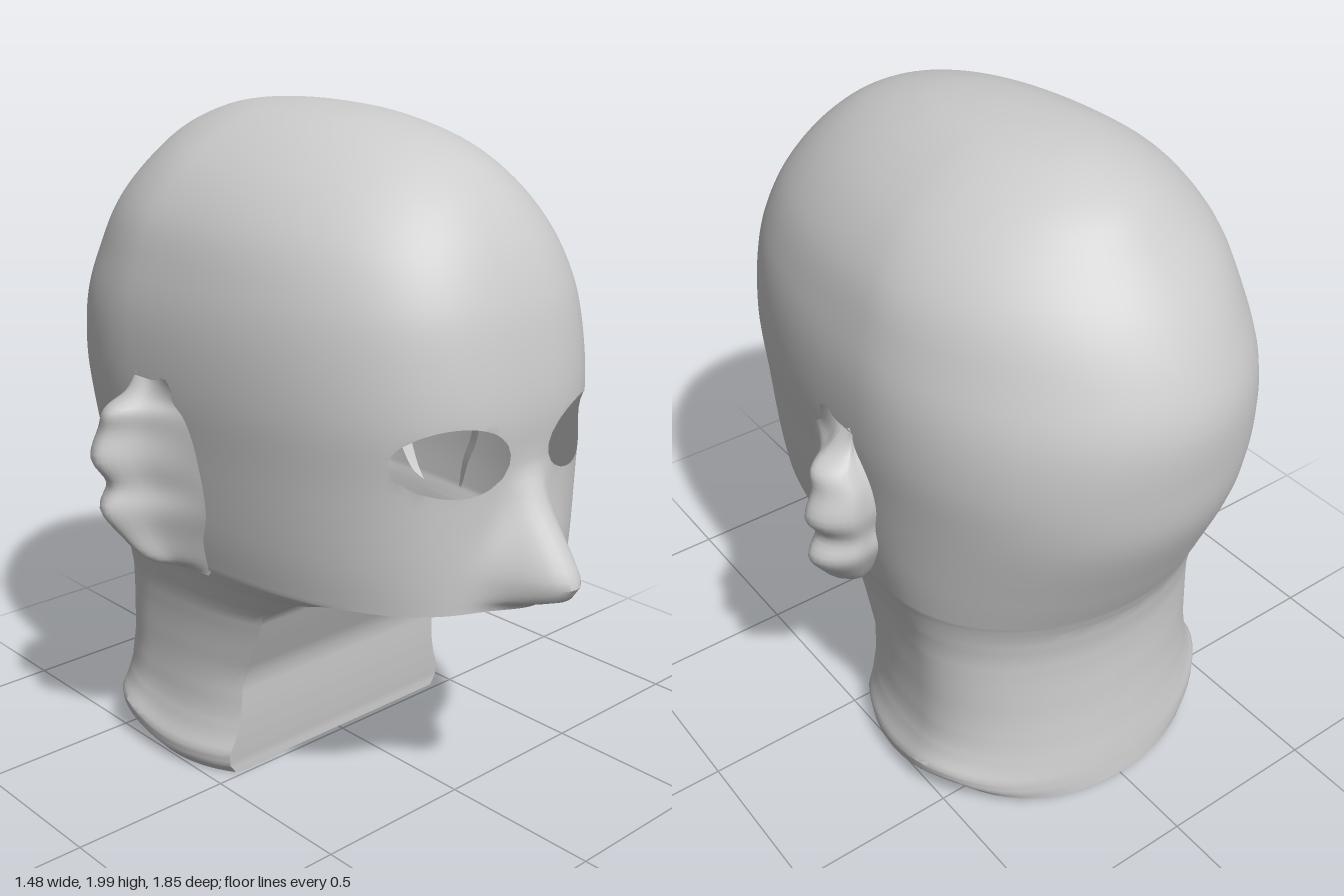
import * as THREE from 'three';
import { toCreasedNormals } from 'three/addons/utils/BufferGeometryUtils.js';

// Smooth interpolation through rows of numbers, n steps per interval
function splineRows(keys, n) {
  const out = [], at = i => keys[Math.min(Math.max(i, 0), keys.length - 1)];
  for (let i = 0; i < keys.length - 1; i++)
    for (let s = 0; s < n; s++) {
      const t = s / n;
      out.push(at(i).map((b, k) => {
        const a = at(i - 1)[k], c = at(i + 1)[k], d = at(i + 2)[k];
        return b + 0.5 * t * (c - a + t * (2 * a - 5 * b + 4 * c - d + t * (3 * (b - c) + d - a)));
      }));
    }
  out.push(keys[keys.length - 1]);
  return out;
}

function linearRows(keys, n) {
  const out = [];
  for (let i = 0; i < keys.length - 1; i++)
    for (let s = 0; s < n; s++)
      out.push(keys[i].map((a, k) => a + (keys[i + 1][k] - a) * s / n));
  out.push(keys[keys.length - 1]);
  return out;
}

// Surface through rows of points; holes and triangles without area are left out
function gridGeometry(rows, closed) {
  const points = rows.flat(), n = rows[0].length, idx = [];
  const vec = points.map(p => new THREE.Vector3(p.x, p.y, p.z));
  const tri = (a, b, c) => {
    if (points[a].hole && points[b].hole && points[c].hole) return;
    if (new THREE.Triangle(vec[a], vec[b], vec[c]).getArea() > 1e-8) idx.push(a, b, c);
  };
  for (let r = 0; r < rows.length - 1; r++)
    for (let i = 0; i < (closed ? n : n - 1); i++) {
      const a = r * n + i, b = r * n + (i + 1) % n;
      tri(a, b, b + n);
      tri(a, b + n, a + n);
    }
  const g = new THREE.BufferGeometry().setFromPoints(vec);
  g.setIndex(idx);
  return toCreasedNormals(g, 0.7);
}

const NA = 24, NB = 14, NC = 16; // points across the front, side and back of half a section
const CUT = 0.84;                // share of the half width taken by the front
const POWER = 2.6;               // squareness of the front of a section

// Nose height above the face
const noseKeys = [[0.715, 0.05], [0.735, 0.07], [0.755, 0.15], [0.81, 0.188], [0.87, 0.15], [1.0, 0.06], [1.1, 0.005], [1.16, 0]];
function nose(x, y) {
  let i = 0;
  while (i < noseKeys.length - 2 && y > noseKeys[i + 1][0]) i++;
  const [y0, h0] = noseKeys[i], [y1, h1] = noseKeys[i + 1];
  const t = THREE.MathUtils.clamp((y - y0) / (y1 - y0), 0, 1);
  const w = THREE.MathUtils.lerp(0.11, 0.065, THREE.MathUtils.smoothstep(y, 0.82, 1.05));
  return (h0 + (h1 - h0) * t) * Math.exp(-Math.pow(Math.abs(x) / w, 2.3));
}

// Push points out of the tilted oval eye opening
function openEye(p) {
  const c = Math.cos(0.1), s = Math.sin(0.1), dx = p.x - 0.23, dy = p.y - 1.15;
  const u = (dx * c + dy * s) / 0.155, v = (dy * c - dx * s) / 0.096;
  const r = Math.max(Math.hypot(u, v), 1e-4);
  if (r >= 1) return;
  p.hole = true;
  const eu = u / r * 0.155, ev = v / r * 0.096;
  p.x = 0.23 + eu * c - ev * s;
  p.y = 1.15 + eu * s + ev * c;
}

// Side of a half section from the front cut to the widest point, then round to the back
function sideAndBack(half, front, y, zb, w, zc) {
  const a0 = Math.asin(CUT), p = THREE.MathUtils.lerp(2, 1.8, THREE.MathUtils.smoothstep(y, 1.2, 1.6));
  for (let i = 1; i <= NB; i++) {
    const x = w * Math.sin(a0 + (Math.PI / 2 - a0) * i / NB);
    half.push({ x, y, z: i === NB ? zc : front(x) });
  }
  for (let i = 1; i <= NC; i++) {
    const a = i / NC * Math.PI / 2;
    const x = i === NC ? 0 : w * Math.pow(Math.cos(a), 2 / p);
    half.push({ x, y, z: zc + (zb - zc) * Math.pow(Math.sin(a), 2 / p) });
  }
  return half;
}

const sectionFront = (zf, w, zc, p) => x =>
  zc + (zf - zc) * Math.pow(1 - Math.pow(THREE.MathUtils.clamp(x / w, 0, 1), p), 1 / p);

// Half section of the skull and face
function skullHalf([y, zf, zb, w, zc]) {
  const front = sectionFront(zf, w, zc, THREE.MathUtils.lerp(POWER, 2.1, THREE.MathUtils.smoothstep(y, 1.5, 2)));
  const half = [];
  for (let i = 0; i <= NA; i++) {
    const q = { x: CUT * w * i / NA, y };
    openEye(q);
    q.z = front(q.x) + nose(q.x, q.y);
    half.push(q);
  }
  return sideAndBack(half, front, y, zb, w, zc);
}

// Half section of the neck, cut flat across the front at zf
function neckHalf([y, zf, zb, w, zc]) {
  const reach = Math.pow(1 - Math.pow(CUT, POWER), 1 / POWER);
  const front = sectionFront(zc + (zf - zc) / reach, w, zc, POWER);
  const half = [];
  for (let i = 0; i <= NA; i++) half.push({ x: CUT * w * i / NA, y, z: zf });
  sideAndBack(half, front, y, zb, w, zc);
  // the rim arches up towards the back
  if (y < 0.3) half.forEach(p => { p.y += (1 - y / 0.3) * 0.07 * Math.exp(-(((p.z + 0.5) / 0.17) ** 2)); });
  return half;
}

const fullLoop = half => half.concat(half.slice(1, -1).reverse().map(p => ({ ...p, x: -p.x })));

export function createModel() {
  const group = new THREE.Group();
  const skin = new THREE.MeshStandardMaterial({ color: 0xcccccc, side: THREE.DoubleSide });
  skin.name = 'grey skin';

  // Neck: y, front z, back z, half width, centre z
  const neck = linearRows([
    [0.01, -0.02, -0.745, 0.505, -0.38],
    [0.04, -0.02, -0.742, 0.53, -0.38],
    [0.08, -0.015, -0.738, 0.535, -0.38],
    [0.13, -0.01, -0.732, 0.51, -0.38],
    [0.2, -0.005, -0.722, 0.49, -0.38],
    [0.33, 0, -0.708, 0.48, -0.37],
    [0.48, 0.07, -0.70, 0.482, -0.36],
    [0.57, 0.11, -0.702, 0.49, -0.34],
    [0.67, 0.27, -0.718, 0.512, -0.32],
    [0.695, 0.35, -0.728, 0.52, -0.31],
    [0.715, 0.402, -0.736, 0.528, -0.3],
  ], 3).map(neckHalf);

  // Skull: y, front z, back z, half width, centre z
  const skull = splineRows([
    [0.72, 0.735, -0.738, 0.53, -0.3],
    [0.85, 0.735, -0.80, 0.55, -0.28],
    [1.07, 0.735, -0.895, 0.57, -0.26],
    [1.25, 0.745, -0.925, 0.585, -0.26],
    [1.42, 0.725, -0.93, 0.58, -0.26],
    [1.56, 0.69, -0.885, 0.553, -0.25],
    [1.7, 0.625, -0.80, 0.505, -0.24],
    [1.82, 0.53, -0.69, 0.42, -0.22],
    [1.91, 0.40, -0.59, 0.31, -0.2],
    [1.97, 0.20, -0.45, 0.19, -0.18],
    [1.995, 0.0, -0.30, 0.08, -0.16],
    [2.0, -0.15, -0.15, 0.0002, -0.15],
  ], 7).map(skullHalf);

  const head = new THREE.Mesh(gridGeometry([...neck, ...skull].map(fullLoop), true), skin);
  head.name = 'headAndNeck';
  group.add(head);

  // Ear: y, front z, back z, outer x
  const earKeys = [
    [0.70, 0.0, -0.17, 0.54],
    [0.735, 0.02, -0.21, 0.625],
    [0.81, 0.04, -0.26, 0.685],
    [0.89, 0.07, -0.30, 0.73],
    [0.96, 0.07, -0.30, 0.70],
    [1.04, 0.06, -0.32, 0.74],
    [1.12, 0.04, -0.31, 0.71],
    [1.18, 0.01, -0.28, 0.70],
    [1.22, -0.04, -0.25, 0.63],
    [1.28, -0.08, -0.23, 0.57],
  ];
  // Ear section: distance from front to back, distance outwards
  const earSection = splineRows([[0, -0.1], [0.3, 0.18], [0.52, 0.48], [0.66, 0.88], [0.76, 1], [0.9, 0.86], [1, 0.5], [0.96, 0.1], [0.94, -0.3]], 3);
  for (const side of [1, -1]) {
    const rows = splineRows(earKeys, 4).map(([y, zf, zb, xo]) => {
      const xb = 0.525 + 0.11 * (y - 0.72);
      const row = earSection.map(([u, v]) => ({ x: side * (xb + v * (xo - xb)), y, z: zf + (zb - zf) * u }));
      return side > 0 ? row : row.reverse();
    });
    const ear = new THREE.Mesh(gridGeometry(rows, false), skin);
    ear.name = side > 0 ? 'leftEar' : 'rightEar';
    group.add(ear);
  }
  return group;
}
